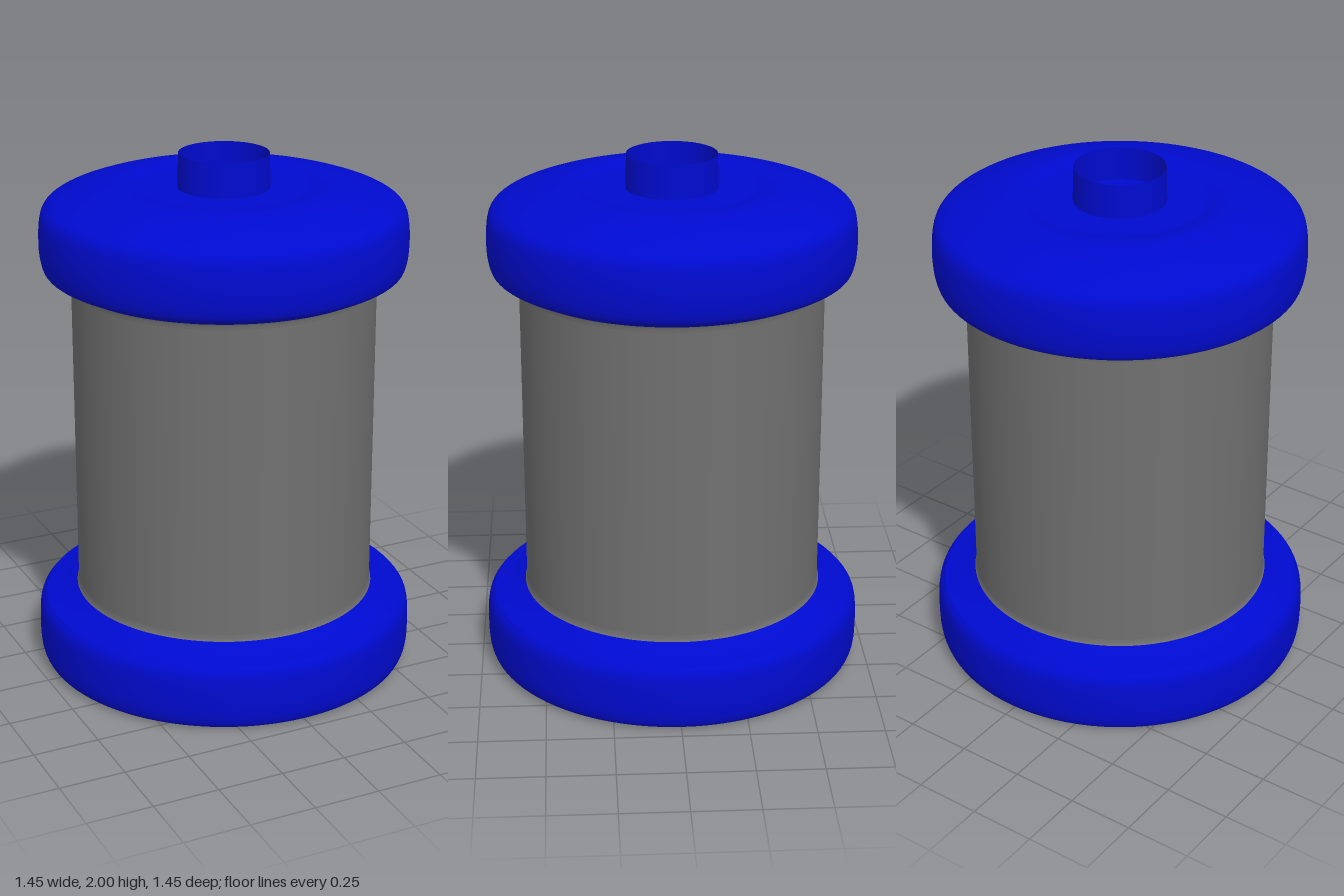
import * as THREE from 'three';

const SEGMENTS = 96;

// Revolve a run of smooth pieces; each piece is [r, y] points, with a sharp edge between pieces.
function turned(name, material, pieces) {
  const group = new THREE.Group();
  group.name = name;
  for (const piece of pieces) {
    const points = piece.map(([r, y]) => new THREE.Vector2(r, y));
    const profile = points.length > 2
      ? new THREE.SplineCurve(points).getPoints(points.length * 5)
      : points;
    const mesh = new THREE.Mesh(new THREE.LatheGeometry(profile, SEGMENTS), material);
    mesh.name = name + 'Surface';
    group.add(mesh);
  }
  return group;
}

export function createModel() {
  const model = new THREE.Group();
  model.name = 'canister';
  const blue = new THREE.MeshStandardMaterial({ color: 0x000acf, side: THREE.DoubleSide });
  const darkGrey = new THREE.MeshStandardMaterial({ color: 0x707070, side: THREE.DoubleSide });

  // Wide foot: flat underside, rounded rim, shoulder sweeping up to the body
  model.add(turned('base', blue, [
    [[0, 0], [0.66, 0]],
    [[0.66, 0], [0.697, 0.008], [0.715, 0.03], [0.724, 0.08], [0.724, 0.18], [0.716, 0.23], [0.697, 0.256]],
    [[0.697, 0.256], [0.65, 0.267], [0.61, 0.281], [0.575, 0.297]],
  ]));

  // Straight body with a small flare at each end
  model.add(turned('body', darkGrey, [
    [[0.58, 0.29], [0.573, 0.303], [0.57, 0.32]],
    [[0.57, 0.32], [0.57, 1.51]],
    [[0.57, 1.51], [0.572, 1.525], [0.577, 1.54]],
  ]));

  // Cap: coved underside, rounded side, domed top with a shallow central dish
  model.add(turned('cap', blue, [
    [[0.57, 1.537], [0.6, 1.541], [0.62, 1.552], [0.635, 1.564], [0.655, 1.567]],
    [[0.655, 1.567], [0.671, 1.58], [0.682, 1.62], [0.686, 1.68], [0.682, 1.75], [0.67, 1.795],
      [0.64, 1.823], [0.58, 1.848], [0.5, 1.872], [0.42, 1.887], [0.385, 1.888], [0.35, 1.882],
      [0.32, 1.874], [0.28, 1.872]],
    [[0.28, 1.872], [0, 1.872]],
  ]));

  // Thin open spout standing in the dish
  model.add(turned('spout', blue, [
    [[0.171, 1.87], [0.168, 2]],
  ]));

  return model;
}
